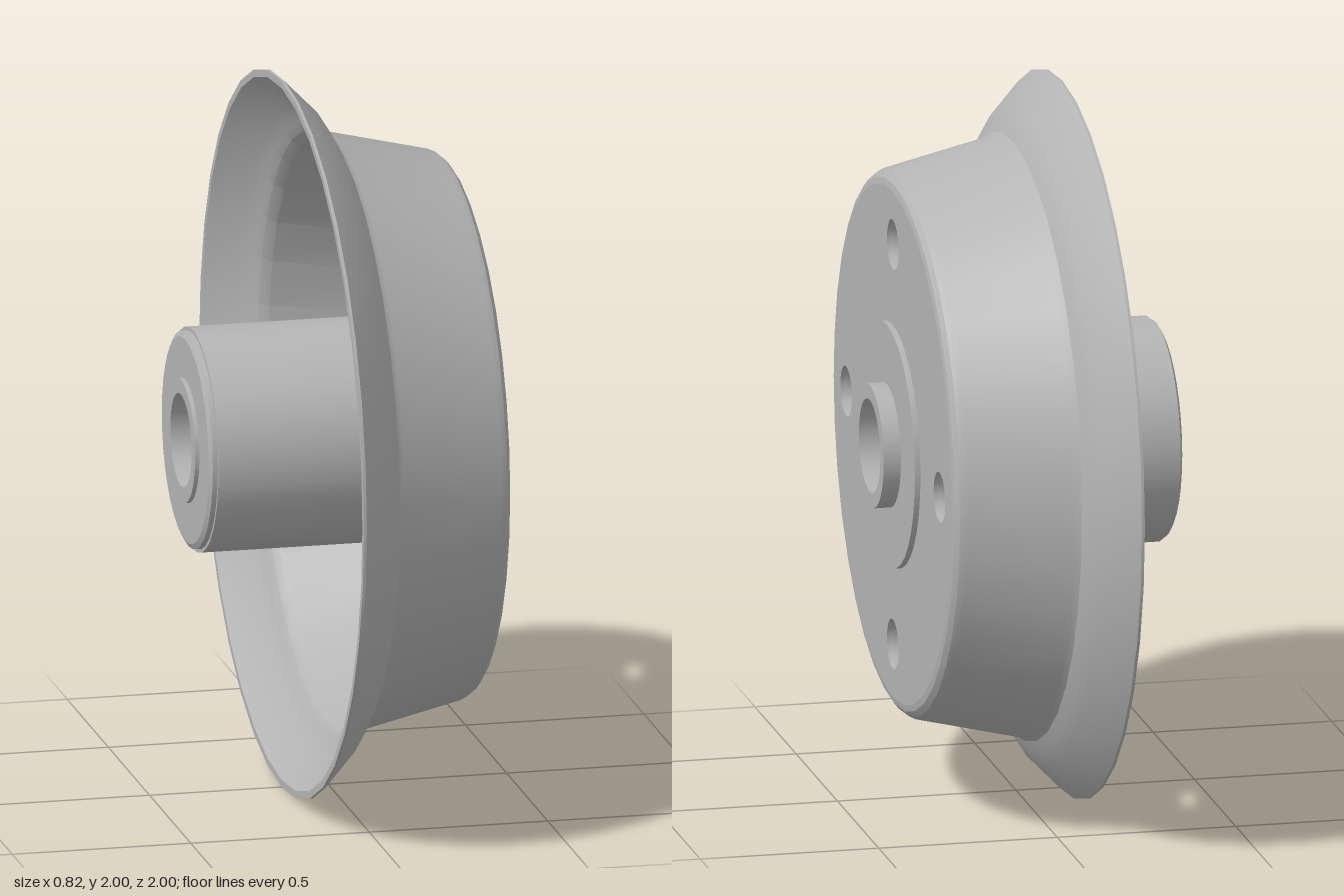
import * as THREE from 'three';
import { toCreasedNormals } from 'three/addons/utils/BufferGeometryUtils.js';

const HOLE_RING = 0.565, HOLE_R = 0.07, LUG_R = 0.11;

export function createModel() {
  const model = new THREE.Group();
  model.name = 'hubWheel';
  const metal = new THREE.MeshStandardMaterial({ color: 0xb4b4b4 });
  metal.name = 'grey metal';

  const wheel = new THREE.Group();
  wheel.name = 'wheel';
  wheel.position.y = 1;
  model.add(wheel);

  const add = (name, geometry) => {
    const mesh = new THREE.Mesh(toCreasedNormals(geometry, 0.45), metal);
    mesh.name = name;
    wheel.add(mesh);
  };

  // Turned part about the x axis from a closed loop of [x, radius] points
  const turned = (name, loop) => {
    const points = [...loop, loop[0]].map(([x, r]) => new THREE.Vector2(r, x));
    add(name, new THREE.LatheGeometry(points, 36).rotateZ(-Math.PI / 2));
  };

  // Flat plate facing +x with its back at the given x
  const plate = (name, shape, x, depth) => {
    const g = new THREE.ExtrudeGeometry(shape, { depth, bevelEnabled: false, curveSegments: 18 });
    add(name, g.rotateY(Math.PI / 2).translate(x, 0, 0));
  };

  const circleHole = (shape, x, y, r) => {
    shape.holes.push(new THREE.Path().absarc(x, y, r, 0, Math.PI * 2, true));
  };
  const boltHoles = (shape) => {
    for (let i = 0; i < 4; i++) {
      const a = i * Math.PI / 2;
      circleHole(shape, HOLE_RING * Math.cos(a), HOLE_RING * Math.sin(a), HOLE_R);
    }
    circleHole(shape, 0, 0, 0.29);
  };

  // Thin pressed shell: flared rim, tapered drum and rounded shoulder
  turned('shell', [
    [-0.13, 0.98], [-0.13, 1], [-0.122, 1], [-0.03, 0.905], [-0.005, 0.86], [0.008, 0.835],
    [0.025, 0.823], [0.31, 0.757], [0.329, 0.748], [0.341, 0.733], [0.345, 0.715],
    [0.325, 0.715], [0.318, 0.729], [0.305, 0.737], [0.018, 0.803],
    [-0.008, 0.823], [-0.022, 0.85], [-0.046, 0.893],
  ]);

  // Drilled front face
  const face = new THREE.Shape().absarc(0, 0, 0.715, 0, Math.PI * 2);
  boltHoles(face);
  plate('frontFace', face, 0.325, 0.02);

  // Four-lug mounting flange behind the face
  const flange = new THREE.Shape();
  const sweep = 102 * Math.PI / 180;
  for (let i = 0; i < 4; i++) {
    const a = i * Math.PI / 2;
    flange.absarc(HOLE_RING * Math.cos(a), HOLE_RING * Math.sin(a), LUG_R, a - sweep, a + sweep);
  }
  flange.closePath();
  boltHoles(flange);
  plate('mountingFlange', flange, 0.29, 0.035);

  // Hub barrel with stepped end and raised front boss
  turned('hub', [
    [-0.4, 0.15], [-0.4, 0.285], [-0.392, 0.3], [-0.378, 0.3], [-0.378, 0.31],
    [0.346, 0.31], [0.346, 0.34], [0.362, 0.34], [0.362, 0.15],
  ]);

  // Bearing sleeve through the hub
  turned('sleeve', [[-0.412, 0.13], [-0.412, 0.172], [0.41, 0.172], [0.41, 0.13]]);

  return model;
}
